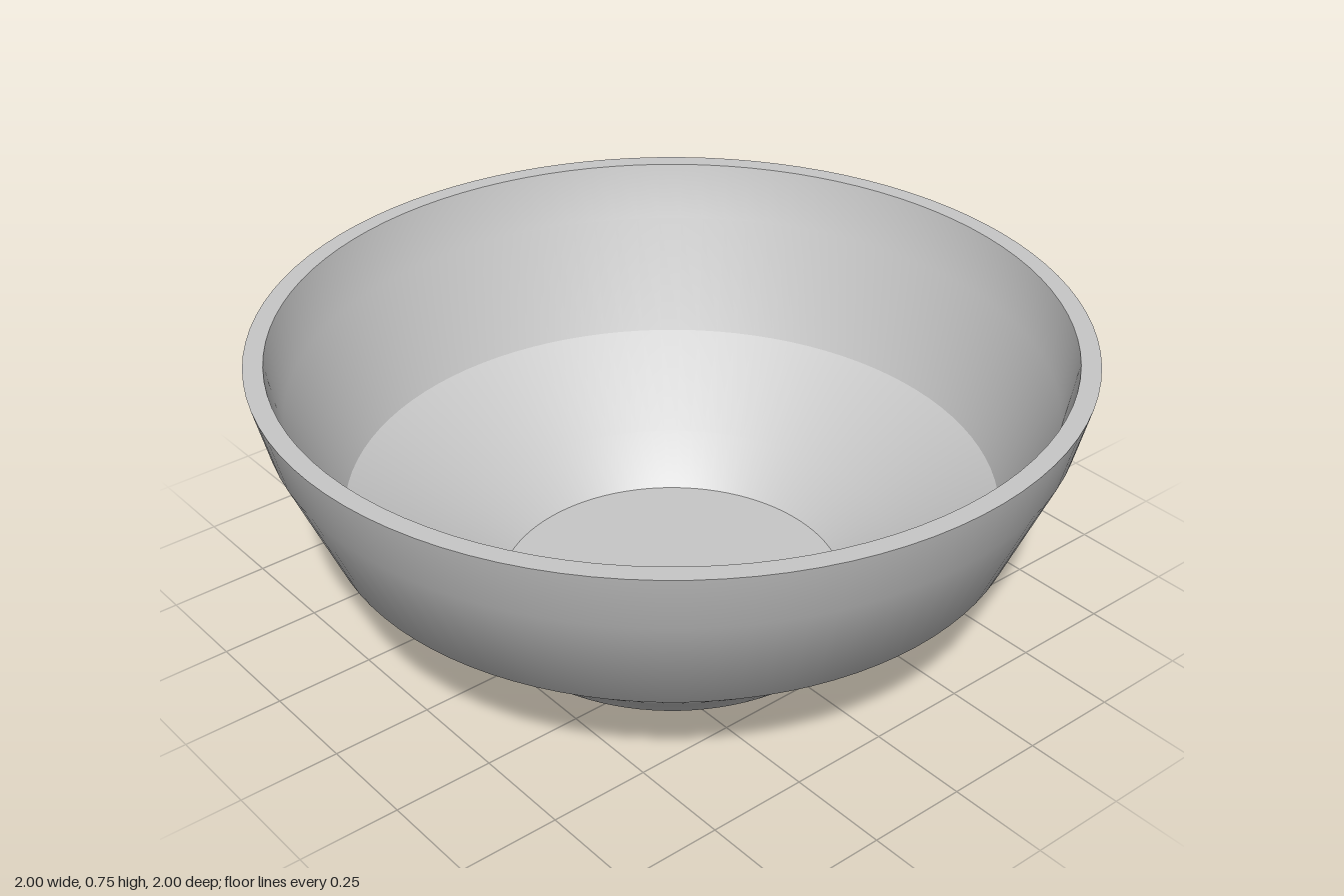
import * as THREE from 'three';

// Bowl profile sections as [radius, height]; each is smooth, edges between them are sharp
const sections = {
  base: [[0, 0], [0.483, 0]],
  outerWall: [[0.483, 0], [0.598, 0.113], [0.845, 0.315], [0.965, 0.6], [1, 0.745]],
  rim: [[1, 0.745], [0.953, 0.745]],
  innerWall: [[0.953, 0.745], [0.92, 0.6], [0.8, 0.315]],
  innerSlope: [[0.8, 0.315], [0.55, 0.14], [0.435, 0.03]],
  innerFloor: [[0.435, 0.03], [0, 0.03]],
};

export function createModel() {
  const bowl = new THREE.Group();
  bowl.name = 'bowl';
  const grey = new THREE.MeshStandardMaterial({ color: 0xc8c8c8 });
  grey.name = 'grey';

  for (const [name, points] of Object.entries(sections)) {
    const profile = points.map(([r, y]) => new THREE.Vector2(r, y));
    const mesh = new THREE.Mesh(new THREE.LatheGeometry(profile, 96), grey);
    mesh.name = name;
    bowl.add(mesh);
  }
  return bowl;
}
